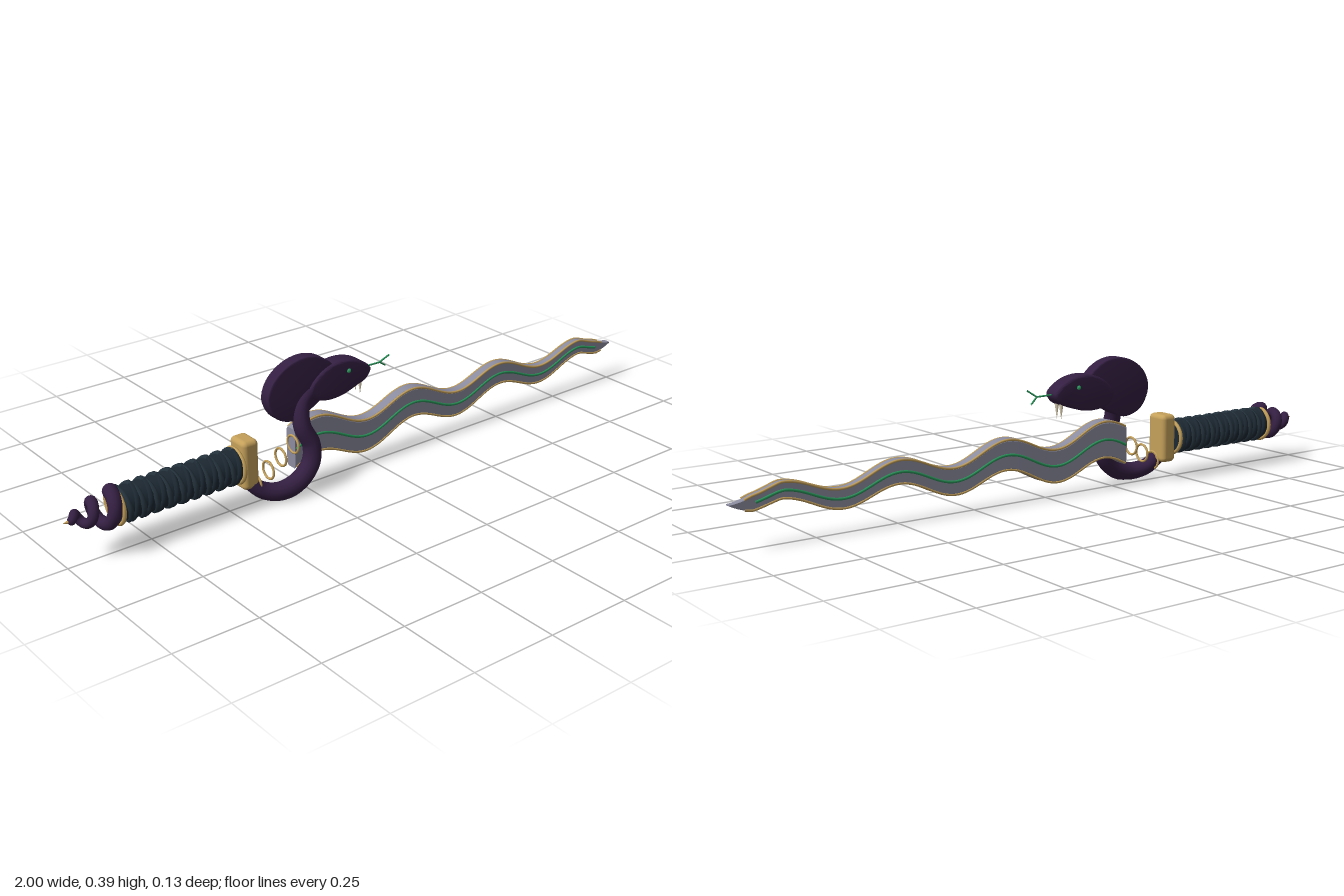
import * as THREE from 'three';
import { toCreasedNormals } from 'three/addons/utils/BufferGeometryUtils.js';
import { RoundedBoxGeometry } from 'three/addons/geometries/RoundedBoxGeometry.js';

const mat = (name, color) => {
  const m = new THREE.MeshStandardMaterial({ color });
  m.name = name;
  return m;
};
const V = (x, y, z) => new THREE.Vector3(x, y, z);
const lerp = THREE.MathUtils.lerp;
const BLADE_Z = -0.008;
const AXIS_Y = 0.13, AXIS_Z = -0.012;

// Centre height, half width and half thickness of the blade at x
const bladeY = (x) => {
  const amp = x > 0.86 ? lerp(0.022, -0.003, (x - 0.86) / 0.14) : lerp(0.029, 0.023, (x + 0.28) / 1.14);
  return 0.126 + amp * Math.cos(((x - 0.152) / 0.352) * Math.PI * 2);
};
const bladeW = (x) => (x > 0.94 ? lerp(0.02, 0.0015, (x - 0.94) / 0.06) : lerp(0.06, 0.02, (x + 0.28) / 1.22));
const bladeT = (x) => lerp(0.0195, 0.011, Math.max(0, x - 0.1) / 0.9);

function bladeGeometry() {
  const section = [[1, 0.75], [0.85, 1], [-0.85, 1], [-1, 0.75], [-1, -0.75], [-0.85, -1], [0.85, -1], [1, -0.75]];
  const n = 120, k = section.length, pos = [], idx = [];
  for (let i = 0; i <= n; i++) {
    const x = lerp(-0.283, 1, i / n);
    for (const [v, t] of section) pos.push(x, bladeY(x) + v * bladeW(x), BLADE_Z + t * bladeT(x));
  }
  for (let i = 0; i < n; i++) {
    for (let j = 0; j < k; j++) {
      const a = i * k + j, b = i * k + ((j + 1) % k);
      idx.push(a, b, a + k, b, b + k, a + k);
    }
  }
  for (let j = 1; j < k - 1; j++) idx.push(0, j + 1, j, n * k, n * k + j, n * k + j + 1);
  const g = new THREE.BufferGeometry();
  g.setAttribute('position', new THREE.Float32BufferAttribute(pos, 3));
  g.setIndex(idx);
  return toCreasedNormals(g, 0.4);
}

// Tube whose radius follows radiusAt(t)
function taperedTube(curve, segments, radiusAt, sides = 12) {
  const g = new THREE.TubeGeometry(curve, segments, 1, sides, false);
  const p = g.attributes.position, v = V(0, 0, 0);
  for (let i = 0; i <= segments; i++) {
    const c = curve.getPointAt(i / segments);
    for (let j = 0; j <= sides; j++) {
      const id = i * (sides + 1) + j;
      v.fromBufferAttribute(p, id).sub(c).multiplyScalar(radiusAt(i / segments)).add(c);
      p.setXYZ(id, v.x, v.y, v.z);
    }
  }
  return g;
}

// Curve winding around the handle axis
function helix(x0, x1, r0, r1, turns, phase, steps) {
  const pts = [];
  for (let i = 0; i <= steps; i++) {
    const t = i / steps, a = phase + t * turns * Math.PI * 2, r = lerp(r0, r1, t);
    pts.push(V(lerp(x0, x1, t), AXIS_Y + r * Math.cos(a), AXIS_Z + r * Math.sin(a)));
  }
  return new THREE.CatmullRomCurve3(pts);
}

// Bevelled slab with a smooth closed outline, centred on the blade plane
function slab(points, thickness, bevel) {
  const outline = new THREE.CatmullRomCurve3(points.map(([x, y]) => V(x, y, 0)), true).getPoints(48);
  const shape = new THREE.Shape(outline.slice(0, -1).map((p) => new THREE.Vector2(p.x, p.y)));
  const g = new THREE.ExtrudeGeometry(shape, {
    depth: thickness - 2 * bevel, bevelEnabled: true, bevelThickness: bevel,
    bevelSize: bevel, bevelOffset: -bevel, bevelSegments: 3,
  });
  g.translate(0, 0, BLADE_Z - (thickness - 2 * bevel) / 2);
  return toCreasedNormals(g, 0.6);
}

export function createModel() {
  const steel = mat('steel', 0x8c8ca0);
  const gold = mat('gold', 0xc4a05a);
  const green = mat('emerald', 0x2a9a5c);
  const scales = mat('purple scales', 0x341f42);
  const leather = mat('dark leather', 0x1c2832);
  const cord = mat('grip cord', 0x25333d);
  const ivory = mat('ivory', 0xddd0b4);

  const model = new THREE.Group();
  const add = (name, geometry, material, parent = model) => {
    const m = new THREE.Mesh(geometry, material);
    m.name = name;
    parent.add(m);
    return m;
  };

  // Wavy blade with green centre lines and gold edge lines
  add('blade', bladeGeometry(), steel);
  const bladeLine = (name, v, side, x1, r, material) => {
    const pts = [];
    for (let i = 0; i <= 60; i++) {
      const x = lerp(-0.28, x1, i / 60);
      const depth = v ? 0.9 : 1;
      pts.push(V(x, bladeY(x) + v * bladeW(x), BLADE_Z + side * bladeT(x) * depth));
    }
    add(name, new THREE.TubeGeometry(new THREE.CatmullRomCurve3(pts), 120, r, 6), material);
  };
  for (const side of [1, -1]) {
    bladeLine('bladeInlay', 0, side, 0.93, 0.0042, green);
    for (const v of [0.94, -0.94]) bladeLine('bladeTrim', v, side, 0.96, 0.0036, gold);
  }

  // Grip with crossed cord wrapping
  const grip = add('grip', new THREE.CylinderGeometry(0.047, 0.047, 0.38, 24), leather);
  grip.rotation.z = Math.PI / 2;
  grip.position.set(-0.655, AXIS_Y, AXIS_Z);
  for (const dir of [1, -1]) {
    const path = helix(-0.835, -0.475, 0.046, 0.046, 9 * dir, 0, 180);
    add('gripWrap', new THREE.TubeGeometry(path, 260, 0.0085, 6), dir > 0 ? cord : leather);
  }

  // Thin rings: collars at both grip ends and the chain by the blade
  const ring = (name, x, y, z, r, tube) => {
    const m = add(name, new THREE.TorusGeometry(r, tube, 8, 28), gold);
    m.rotation.y = Math.PI / 2;
    m.position.set(x, y, z);
  };
  for (const x of [-0.845, -0.47]) ring('gripCollar', x, AXIS_Y, AXIS_Z, 0.05, 0.006);
  for (let i = 0; i < 4; i++) ring('chainRing', -0.412 + i * 0.043, 0.062 + i * 0.027, 0.002, 0.026, 0.0035);

  // Guard
  const guard = add('guard', new RoundedBoxGeometry(0.052, 0.147, 0.072, 4, 0.014), gold);
  guard.position.set(-0.438, 0.132, -0.011);

  // Coiled tail at the pommel
  const tail = helix(-0.856, -0.975, 0.046, 0.008, 2.2, 0, 40);
  const tailR = (t) => lerp(0.021, 0.012, t);
  add('tail', taperedTube(tail, 90, tailR), scales);
  add('tailStart', new THREE.SphereGeometry(0.021, 14, 10), scales).position.copy(tail.getPointAt(0));
  const end = tail.getPointAt(1);
  add('tailEnd', new THREE.SphereGeometry(0.0122, 12, 8), scales).position.copy(end);
  const tip = add('tailTip', new THREE.ConeGeometry(0.009, 0.028, 10), gold);
  tip.rotation.z = Math.PI / 2;
  tip.position.set(-0.986, end.y, end.z);

  // Serpent
  const serpent = new THREE.Group();
  serpent.name = 'serpent';
  model.add(serpent);
  const body = new THREE.CatmullRomCurve3([
    V(-0.435, 0.075, 0.0), V(-0.4, 0.042, 0.016), V(-0.35, 0.03, 0.033), V(-0.29, 0.045, 0.037),
    V(-0.247, 0.09, 0.036), V(-0.24, 0.14, 0.03), V(-0.262, 0.2, 0.018), V(-0.25, 0.26, 0.002), V(-0.2, 0.3, -0.008),
  ]);
  add('body', taperedTube(body, 90, (t) => (t < 0.3 ? lerp(0.022, 0.029, t / 0.3) : lerp(0.029, 0.023, (t - 0.3) / 0.7)), 14), scales, serpent);
  add('hood', slab([
    [-0.368, 0.295], [-0.352, 0.345], [-0.305, 0.383], [-0.24, 0.397], [-0.18, 0.38], [-0.14, 0.34],
    [-0.16, 0.28], [-0.22, 0.238], [-0.28, 0.216], [-0.34, 0.238],
  ], 0.038, 0.004), scales, serpent);
  add('head', slab([
    [-0.23, 0.295], [-0.19, 0.338], [-0.13, 0.357], [-0.06, 0.345], [-0.015, 0.309],
    [-0.03, 0.282], [-0.065, 0.268], [-0.115, 0.252], [-0.17, 0.25], [-0.215, 0.265],
  ], 0.054, 0.007), scales, serpent);

  // Eyes and fangs on both sides
  for (const side of [1, -1]) {
    add('eye', new THREE.SphereGeometry(0.007, 12, 8), green, serpent).position.set(-0.096, 0.322, BLADE_Z + side * 0.026);
    const fang = add('fang', new THREE.ConeGeometry(0.0065, 0.045, 8), ivory, serpent);
    fang.rotation.x = Math.PI;
    fang.position.set(-0.044, 0.254, BLADE_Z + side * 0.0105);
  }

  // Forked tongue
  const root = V(-0.025, 0.306, BLADE_Z), fork = V(0.036, 0.305, BLADE_Z);
  for (const [a, b] of [[root, fork], [fork, V(0.064, 0.325, 0.002)], [fork, V(0.064, 0.286, -0.018)]]) {
    add('tongue', new THREE.TubeGeometry(new THREE.LineCurve3(a, b), 1, 0.0026, 6), green, serpent);
  }
  return model;
}
